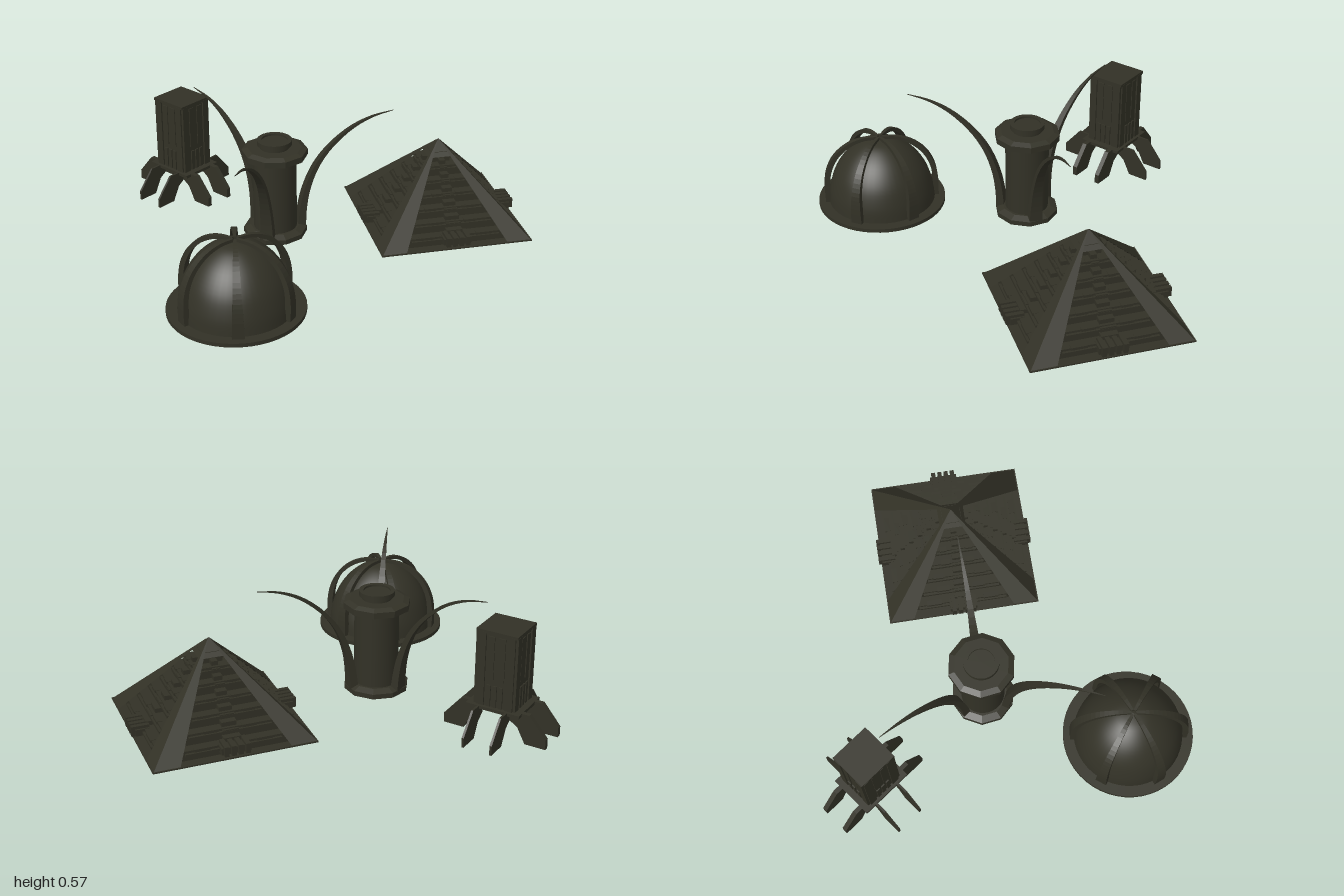
import * as THREE from 'three';

const stone = new THREE.MeshStandardMaterial({ color: 0x323126 });
stone.name = 'dark olive stone';

function add(parent, name, geo, x = 0, y = 0, z = 0) {
  const m = new THREE.Mesh(geo, stone);
  m.name = name;
  m.position.set(x, y, z);
  parent.add(m);
  return m;
}

function group(parent, name, x = 0, z = 0, turn = 0) {
  const g = new THREE.Group();
  g.name = name;
  g.position.set(x, 0, z);
  g.rotation.y = turn;
  parent.add(g);
  return g;
}

// box resting on height y
const block = (p, name, w, h, d, x, y, z) =>
  add(p, name, new THREE.BoxGeometry(w, h, d), x, y + h / 2, z);

function flat(geo) {
  const g = geo.toNonIndexed();
  g.computeVertexNormals();
  return g;
}

function fromTriangles(pts) {
  const g = new THREE.BufferGeometry();
  g.setAttribute('position', new THREE.Float32BufferAttribute(pts.flat(), 3));
  g.computeVertexNormals();
  return g;
}

// tapering bar of rectangular section swept along a curve in the xy plane
function taperedBar(path, size, steps = 22) {
  const curve = new THREE.CatmullRomCurve3(path.map(([x, y]) => new THREE.Vector3(x, y, 0)));
  const rings = [];
  for (let i = 0; i <= steps; i++) {
    const t = i / steps, p = curve.getPoint(t), d = curve.getTangent(t);
    const [thick, width] = size(t);
    rings.push([[1, -1], [1, 1], [-1, 1], [-1, -1]].map(([b, n]) =>
      [p.x + d.y * n * thick / 2, p.y - d.x * n * thick / 2, b * width / 2]));
  }
  const tri = [];
  for (let i = 0; i < steps; i++) for (let j = 0; j < 4; j++) {
    const k = (j + 1) % 4;
    const a = rings[i][j], b = rings[i][k], c = rings[i + 1][k], d = rings[i + 1][j];
    tri.push(a, b, c, a, c, d);
  }
  const s = rings[0], e = rings[steps];
  tri.push(s[0], s[2], s[1], s[0], s[3], s[2], e[0], e[1], e[2], e[0], e[2], e[3]);
  return fromTriangles(tri);
}

// stepped pyramid with smooth corner ridges, stairs and gates
function buildPyramid(root) {
  const g = group(root, 'pyramid', 0.505, -0.455, 0.494);
  const H = 0.4, S = 0.361, tiers = 8, W = 0.115;
  const half = y => S * (1 - y / H);
  block(g, 'basePlate', 2 * S, 0.006, 2 * S, 0, 0, 0);
  for (let i = 0; i < tiers - 1; i++) {
    const y0 = i * H / tiers, h = H / tiers - 0.004, r = half(y0 + h) - 0.004;
    block(g, 'tier', 2 * r, h + 0.004, 2 * r, 0, y0, 0);
  }
  // solid tip
  const tip = flat(new THREE.ConeGeometry((half(0.33) - 0.002) * Math.SQRT2, 0.068, 4).rotateY(Math.PI / 4));
  add(g, 'tip', tip, 0, 0.364, 0);
  const A = [0, H, 0], C = [S, 0, S], P = [S - W, 0, S], Q = [S, 0, S - W];
  const ridge = fromTriangles([P, C, A, C, Q, A, Q, P, A, P, Q, C]);
  for (let k = 0; k < 4; k++) {
    const side = group(g, 'pyramidSide', 0, 0, k * Math.PI / 2);
    add(side, 'cornerRidge', ridge);
    // terrace slabs, narrowing upward
    for (let i = 0; i < 6; i++) {
      const y = 0.03 + i * 0.05, r = half(y + 0.01);
      block(side, 'terraceSlab', r * 1.3, 0.01, 0.03, 0, y, r - 0.013);
      for (const s of [-1, 1])
        block(side, 'terraceBlock', r * 0.22, 0.022, 0.025, s * r * (i % 2 ? 0.3 : 0.42), y, r - 0.018);
    }
    // central stair
    for (let i = 1; i < 13; i++) {
      const y = i * 0.025;
      block(side, 'stairStep', 0.085 * (1 - i / 18), 0.02, 0.035, 0, y, half(y + 0.02) - 0.012);
    }
    // gate ribs at the foot
    for (let i = 0; i < 4; i++)
      block(side, 'gateRib', 0.02, 0.045, 0.08, (i - 1.5) * 0.031, 0.02, 0.332);
    block(side, 'gateLintel', 0.13, 0.03, 0.06, 0, 0.022, 0.325);
  }
}

// round tower with three curved horns
function buildTower(root) {
  const g = group(root, 'hornTower', -0.18, -0.06);
  const drum = (name, rt, rb, y0, y1, n) =>
    add(g, name, flat(new THREE.CylinderGeometry(rt, rb, y1 - y0, n)), 0, (y0 + y1) / 2, 0);
  drum('foot', 0.148, 0.148, 0.012, 0.035, 10);
  drum('footBevel', 0.115, 0.148, 0.035, 0.048, 10);
  add(g, 'shaft', new THREE.CylinderGeometry(0.101, 0.101, 0.38, 32), 0, 0.23, 0);
  drum('collarUnderside', 0.152, 0.12, 0.395, 0.408, 10);
  drum('collar', 0.152, 0.152, 0.408, 0.436, 10);
  drum('collarBevel', 0.125, 0.152, 0.436, 0.447, 10);
  add(g, 'neck', new THREE.CylinderGeometry(0.068, 0.068, 0.03, 32), 0, 0.455, 0);
  const cap = [[0, 0.462], [0.08, 0.462], [0.08, 0.485], [0.06, 0.485], [0.06, 0.476], [0, 0.476]];
  // each profile segment is its own lathe so that edges stay sharp
  for (let i = 0; i < cap.length - 1; i++)
    add(g, 'cap', new THREE.LatheGeometry([cap[i], cap[i + 1]].map(p => new THREE.Vector2(...p)), 32));
  const horn = taperedBar(
    [[0.121, 0.03], [0.129, 0.12], [0.148, 0.215], [0.192, 0.325], [0.262, 0.42], [0.366, 0.505], [0.466, 0.55], [0.566, 0.57]],
    t => [0.036 * (1 - t) + 0.002, 0.062 * (1 - t) + 0.002]);
  for (const a of [90, 210, 330])
    add(g, 'horn', horn).rotation.y = -THREE.MathUtils.degToRad(a);
}

// dome with ribs on a round plate
function buildDome(root) {
  const g = group(root, 'ribbedDome', -0.14, 0.64);
  add(g, 'domePlate', new THREE.CylinderGeometry(0.302, 0.302, 0.018, 48), 0, 0.019, 0);
  const profile = new THREE.SplineCurve([[0.253, 0.025], [0.243, 0.1], [0.212, 0.19], [0.153, 0.27], [0.075, 0.324], [0, 0.338]]
    .map(p => new THREE.Vector2(...p))).getPoints(24);
  add(g, 'domeShell', new THREE.LatheGeometry(profile, 48));
  const rib = taperedBar(
    [[0.256, 0.02], [0.257, 0.12], [0.245, 0.19], [0.21, 0.26], [0.15, 0.315], [0.08, 0.343], [0.01, 0.347]],
    t => [0.028 - 0.014 * t, 0.054 - 0.042 * t]);
  for (let i = 0; i < 6; i++)
    add(g, 'domeRib', rib).rotation.y = -THREE.MathUtils.degToRad(10 + i * 60);
}

// square tower standing on eight splayed fins
function buildLegTower(root) {
  const g = group(root, 'leggedTower', -0.754, -0.39, -0.445);
  block(g, 'body', 0.18, 0.35, 0.17, 0, 0.135, 0);
  block(g, 'roofSlab', 0.192, 0.014, 0.182, 0, 0.476, 0);
  block(g, 'platform', 0.25, 0.014, 0.21, 0, 0.126, 0);
  const outline = [[0.07, 0.14], [0.16, 0.14], [0.24, 0.045], [0.24, 0], [0.145, 0], [0.108, 0.07], [0.07, 0.095]];
  const shape = new THREE.Shape(outline.map(p => new THREE.Vector2(...p)));
  const fin = t => new THREE.ExtrudeGeometry(shape, { depth: t, bevelEnabled: false }).translate(0, 0, -t / 2);
  const thick = fin(0.022), thin = fin(0.01);
  for (let k = 0; k < 4; k++) {
    const side = group(g, 'towerSide', 0, 0, k * Math.PI / 2);
    const face = k % 2 ? 0.085 : 0.09;
    for (const s of [-1, 1]) {
      add(side, 'legFin', k % 2 ? thin : thick, 0, 0, s * 0.065);
      block(side, 'cornerPilaster', 0.01, 0.34, 0.036, face + 0.002, 0.14, s * 0.067);
      block(side, 'wallPanel', 0.008, 0.2, 0.03, face, 0.265, s * 0.025);
    }
    for (let i = -1; i <= 1; i++)
      block(side, 'lowerSlat', 0.012, 0.1, 0.018, face, 0.14, i * 0.028);
  }
}

export function createModel() {
  const root = new THREE.Group();
  root.name = 'monuments';
  buildPyramid(root);
  buildTower(root);
  buildDome(root);
  buildLegTower(root);
  return root;
}
